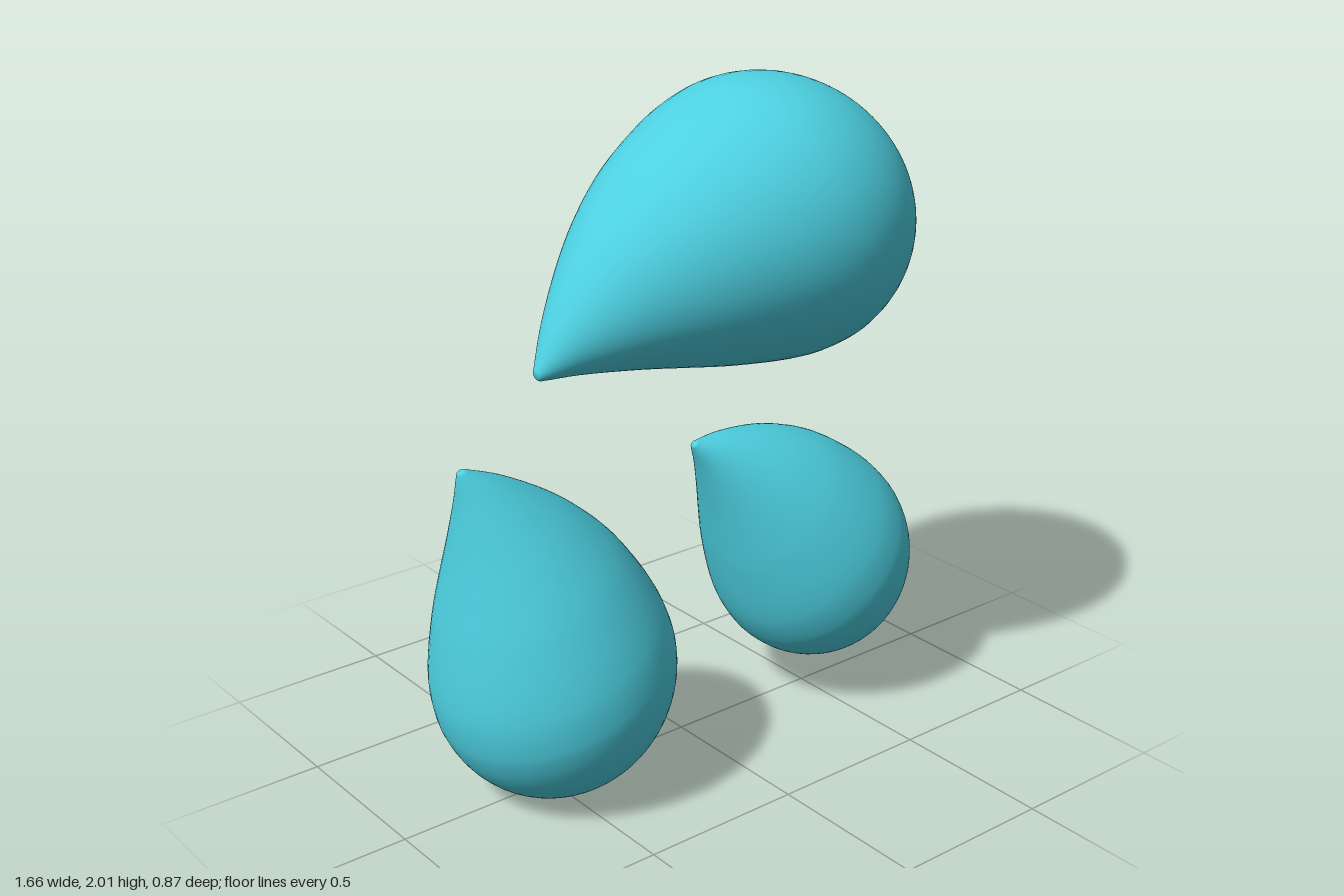
import * as THREE from 'three';
import { mergeVertices } from 'three/addons/utils/BufferGeometryUtils.js';

const aqua = new THREE.MeshStandardMaterial({ color: 0x4dd0e1 });
aqua.name = 'aqua';

// Bent teardrop: tip at the origin, growing along +y, convex side towards -x
function dropGeometry() {
  // radius, distance from the tip, sideways bend
  const points = [
    [0, 0, 0], [0.014, 0.003, 0.002], [0.026, 0.018, 0.006], [0.092, 0.111, 0.032],
    [0.2, 0.277, 0.053], [0.272, 0.4, 0.053], [0.342, 0.539, 0.042], [0.417, 0.754, 0.013],
  ];
  // Round end
  for (let deg = 0; deg <= 90; deg += 7.5) {
    const a = THREE.MathUtils.degToRad(deg);
    points.push([Math.max(0, 0.432 * Math.cos(a)), 0.878 + 0.432 * Math.sin(a), -0.035 * Math.sin(a)]);
  }
  const curve = new THREE.CatmullRomCurve3(points.map((p) => new THREE.Vector3(...p)));
  const rows = curve.getPoints(80);
  rows[0].x = rows[rows.length - 1].x = 0;

  const lathe = new THREE.LatheGeometry(rows.map((p) => new THREE.Vector2(Math.max(0, p.x), p.y)), 64);
  // Bend the spine and widen slightly in depth
  const pos = lathe.attributes.position;
  for (let i = 0; i < pos.count; i++) {
    pos.setX(i, pos.getX(i) - rows[i % rows.length].z);
    pos.setZ(i, pos.getZ(i) * 1.01);
  }
  // Weld the seam for smooth normals
  lathe.deleteAttribute('uv');
  lathe.deleteAttribute('normal');
  const geometry = mergeVertices(lathe, 1e-5);
  geometry.computeVertexNormals();
  return geometry;
}

export function createModel() {
  const group = new THREE.Group();
  group.name = 'threeDrops';
  const geometry = dropGeometry();

  // name, tip x, tip y, heading in degrees, size
  const drops = [
    ['upperDrop', -0.51, 1.265, 21, 1],
    ['lowerRightDrop', -0.765, 1.055, -67.4, 0.848],
    ['lowerLeftDrop', 0.045, 0.93, -45.3, 0.758],
  ];
  for (const [name, x, y, heading, size] of drops) {
    const drop = new THREE.Mesh(geometry, aqua);
    drop.name = name;
    drop.position.set(x, y, 0);
    drop.rotation.z = THREE.MathUtils.degToRad(heading - 90);
    drop.scale.setScalar(size);
    group.add(drop);
  }
  return group;
}
